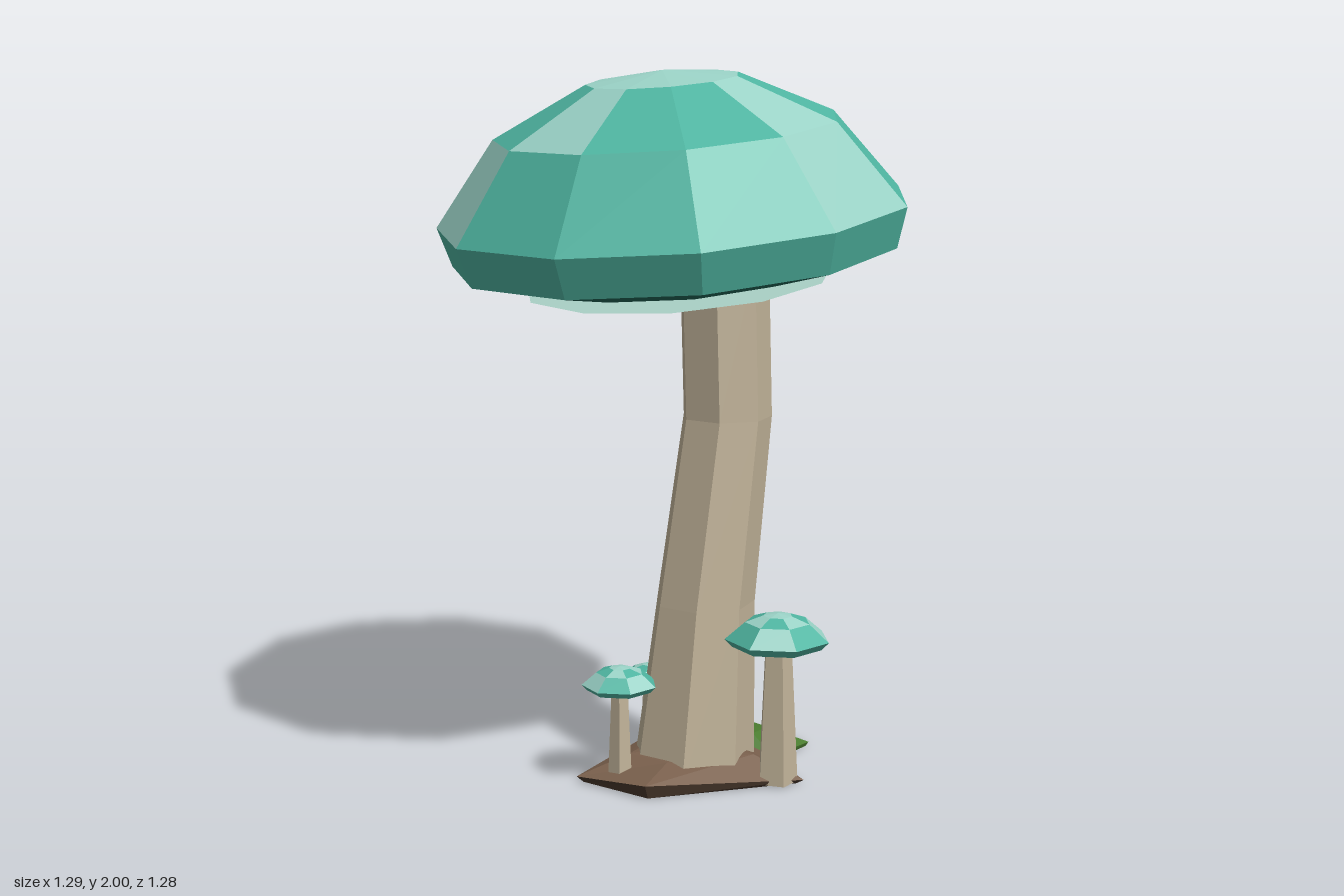
import * as THREE from 'three';

const material = (name, color, extra = {}) => {
  const m = new THREE.MeshStandardMaterial({ color, flatShading: true, ...extra });
  m.name = name;
  return m;
};

// Regular ring of n points around the y axis, starting at +z and turning towards +x
const ring = (n, r, y, cx = 0, cz = 0, phase = 0) =>
  Array.from({ length: n }, (_, i) => {
    const a = phase + (i / n) * Math.PI * 2;
    return [cx + r * Math.sin(a), y, cz + r * Math.cos(a)];
  });

// Copy of a ring shrunk around a centre, at a new height
const inset = (points, k, y, cx, cz) =>
  points.map(([x, , z]) => [cx + (x - cx) * k, y, cz + (z - cz) * k]);

// Faceted skin over rings listed from bottom to top; pick(band, side) gives the material index
function loft(name, rings, materials, pick = () => 0) {
  const n = rings[0].length;
  const positions = [];
  const geometry = new THREE.BufferGeometry();
  for (let b = 0; b < rings.length - 1; b++) {
    for (let i = 0; i < n; i++) {
      const j = (i + 1) % n;
      const [p, q, r, s] = [rings[b][i], rings[b][j], rings[b + 1][j], rings[b + 1][i]];
      geometry.addGroup(positions.length / 3, 6, pick(b, i));
      positions.push(...p, ...q, ...r, ...p, ...r, ...s);
    }
  }
  geometry.setAttribute('position', new THREE.Float32BufferAttribute(positions, 3));
  geometry.computeVertexNormals();
  const mesh = new THREE.Mesh(geometry, materials);
  mesh.name = name;
  return mesh;
}

export function createModel() {
  const teal = material('teal cap', 0x4fb5a1);
  const pale = material('pale patch', 0x9ad2c6);
  const darkTeal = material('cap underside', 0x226a5b);
  const gillColor = material('gill', 0xa9cfc5, { side: THREE.DoubleSide });
  const bark = material('stem', 0xc0b298);
  const earth = material('soil', 0x7a604d);
  const darkEarth = material('soil underside', 0x4a392d);
  const green = material('moss', 0x4a7c2f);
  const capMaterials = [teal, pale, darkTeal];

  const model = new THREE.Group();
  model.name = 'mushrooms';

  // Cap: underside, rim, two patched bands and a pale crown.
  // profile holds [radius, height] pairs from the underside centre to the apex
  const makeCap = (name, n, profile, outer, inner) =>
    loft(name, profile.map(([r, y]) => ring(n, r, y)), capMaterials, (band, side) => {
      if (band < 2) return 2;
      if (band === 3) return outer.includes(side) ? 1 : 0;
      if (band === 4) return inner.includes(side) ? 1 : 0;
      return band === 5 ? 1 : 0;
    });

  // Large tilted cap with a gill disc below it
  const bigCap = new THREE.Group();
  bigCap.name = 'largeCap';
  bigCap.position.set(-0.002, 1.615, -0.016);
  bigCap.rotation.set(0.085, 0, 0.085);
  bigCap.add(makeCap('capShell', 11,
    [[0, -0.165], [0.4, -0.165], [0.62, -0.11], [0.653, 0], [0.475, 0.23], [0.21, 0.36], [0, 0.385]],
    [1, 4, 8], [1, 3, 6, 9]));
  const gills = new THREE.Mesh(new THREE.CircleGeometry(0.43, 11).rotateX(Math.PI / 2), gillColor);
  gills.name = 'gills';
  gills.position.y = -0.19;
  bigCap.add(gills);
  model.add(bigCap);

  // Bent seven-sided stem: [x, y, z, radius]
  const stemPath = [
    [0.06, 0.01, -0.075, 0.18], [0.095, 0.5, -0.08, 0.145],
    [0.16, 1.03, -0.11, 0.13], [0.15, 1.48, -0.12, 0.13],
  ];
  model.add(loft('largeStem',
    stemPath.map(([x, y, z, r]) => ring(7, r, y, x, z, -0.272)), [bark]));

  // Small mushrooms: position, cap radius, top height, stem radii, turn
  const smalls = [
    ['smallMushroomFront', 0.285, 0.068, 0.15, 0.497, 0.06, 0.04, 0.2],
    ['smallMushroomSide', -0.157, 0.028, 0.108, 0.345, 0.036, 0.024, 1.1],
    ['smallMushroomBack', -0.04, -0.298, 0.085, 0.255, 0.03, 0.021, 2.3],
  ];
  for (const [name, x, z, r, top, footR, neckR, turn] of smalls) {
    const group = new THREE.Group();
    group.name = name;
    group.position.set(x, 0, z);
    const rim = top - 0.48 * r;
    const cap = makeCap('smallCap', 7, [
      [0, rim - 0.14 * r], [0.5 * r, rim - 0.15 * r], [0.86 * r, rim - 0.15 * r],
      [r, rim], [0.62 * r, rim + 0.32 * r], [0.28 * r, rim + 0.44 * r], [0, top],
    ], [1, 4, 6], [0, 2, 5]);
    cap.rotation.y = turn;
    const stem = loft('smallStem',
      [ring(5, footR, 0.005), ring(5, neckR, rim - 0.1 * r)], [bark]);
    stem.rotation.y = turn;
    group.add(cap, stem);
    model.add(group);
  }

  // Irregular soil mound with an undercut edge
  const edge = [
    [0.36, 0.012, 0.09], [0.25, 0.03, -0.2], [-0.05, 0.025, -0.31],
    [-0.28, 0.018, 0.01], [-0.1, 0.04, 0.175],
  ];
  model.add(loft('soil', [
    inset(edge, 0, 0, 0.05, -0.05), inset(edge, 0.94, 0, 0.05, -0.05), edge,
    inset(edge, 0.55, 0.07, 0.06, -0.06), inset(edge, 0, 0.085, 0.06, -0.06),
  ], [earth, darkEarth], (band) => (band < 2 ? 1 : 0)));

  // Moss clump beside the soil
  const mossEdge = [
    [0.43, 0.012, -0.24], [0.33, 0.012, -0.38], [0.17, 0.012, -0.36],
    [0.13, 0.02, -0.15], [0.3, 0.02, -0.1],
  ];
  model.add(loft('moss', [
    inset(mossEdge, 0, 0, 0.27, -0.24), inset(mossEdge, 0.95, 0, 0.27, -0.24), mossEdge,
    inset(mossEdge, 0.4, 0.065, 0.22, -0.23), inset(mossEdge, 0, 0.068, 0.22, -0.23),
  ], [green]));

  return model;
}
